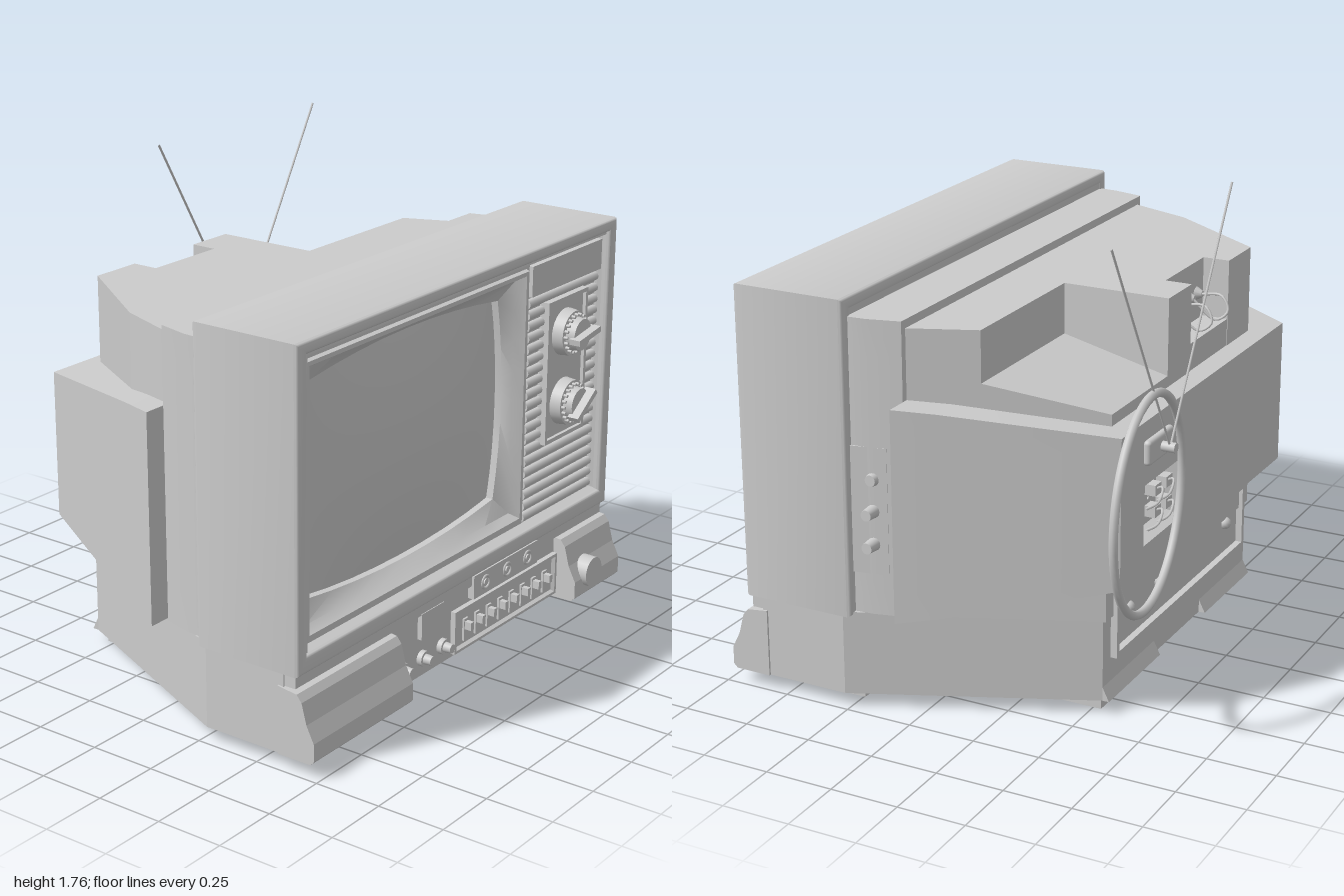
import * as THREE from 'three';
import { toCreasedNormals } from 'three/addons/utils/BufferGeometryUtils.js';
import { RoundedBoxGeometry } from 'three/addons/geometries/RoundedBoxGeometry.js';

const grey = new THREE.MeshStandardMaterial({ color: 0xcccccc });
const greyDouble = new THREE.MeshStandardMaterial({ color: 0xcccccc, side: THREE.DoubleSide });
const V = (x, y, z) => new THREE.Vector3(x, y, z);

export function createModel() {
  const model = new THREE.Group();
  const add = (name, geo, x = 0, y = 0, z = 0, mat = grey) => {
    const m = new THREE.Mesh(geo, mat);
    m.name = name;
    m.position.set(x, y, z);
    model.add(m);
    return m;
  };
  // Box given by its limits
  const box = (name, x0, x1, y0, y1, z0, z1) =>
    add(name, new THREE.BoxGeometry(x1 - x0, y1 - y0, z1 - z0), (x0 + x1) / 2, (y0 + y1) / 2, (z0 + z1) / 2);
  // Disc or knob along z, from z0 to z1
  const knob = (name, x, y, z0, z1, r, rEnd = r, sides = 24) =>
    add(name, new THREE.CylinderGeometry(rEnd, r, z1 - z0, sides).rotateX(Math.PI / 2), x, y, (z0 + z1) / 2);
  const tube = (name, pts, r, seg = 16) =>
    add(name, new THREE.TubeGeometry(new THREE.CatmullRomCurve3(pts), seg, r, 6));
  // Rectangular ring of points, sides bowed outward by b
  const ring = (x0, x1, y0, y1, z, b = 0, n = 8) => {
    const c = [[x0, y0], [x1, y0], [x1, y1], [x0, y1]], out = [];
    for (let s = 0; s < 4; s++) for (let i = 0; i < n; i++) {
      const t = i / n, p = c[s], q = c[(s + 1) % 4], k = 4 * t * (1 - t) * b;
      const dir = [[0, -1], [1, 0], [0, 1], [-1, 0]][s];
      out.push([p[0] + (q[0] - p[0]) * t + dir[0] * k, p[1] + (q[1] - p[1]) * t + dir[1] * k, z]);
    }
    return out;
  };
  // Skin over rings, listed from the inner front outward and back
  const loft = (rings) => {
    const pos = [], n = rings[0].length;
    for (let r = 0; r < rings.length - 1; r++) for (let i = 0; i < n; i++) {
      const a = rings[r], b = rings[r + 1], j = (i + 1) % n;
      pos.push(...a[i], ...b[i], ...a[j], ...a[j], ...b[i], ...b[j]);
    }
    const g = new THREE.BufferGeometry();
    g.setAttribute('position', new THREE.Float32BufferAttribute(pos, 3));
    return toCreasedNormals(g, 0.5);
  };
  const rect = (T, x0, x1, y0, y1) => {
    const s = new T();
    s.moveTo(x0, y0); s.lineTo(x1, y0); s.lineTo(x1, y1); s.lineTo(x0, y1); s.closePath();
    return s;
  };
  // Upright prism over an [x, z] plan
  const prism = (name, plan, y0, y1) => {
    const s = new THREE.Shape(plan.map(([x, z]) => new THREE.Vector2(x, -z)));
    return add(name, new THREE.ExtrudeGeometry(s, { depth: y1 - y0, bevelEnabled: false }).rotateX(-Math.PI / 2), 0, y0, 0);
  };
  // Prism along x over a [z, y] profile
  const sideProfile = (name, prof, x0, x1) => {
    const s = new THREE.Shape(prof.map(([z, y]) => new THREE.Vector2(-z, y)));
    return add(name, new THREE.ExtrudeGeometry(s, { depth: x1 - x0, bevelEnabled: false }).rotateY(Math.PI / 2), x0, 0, 0);
  };

  // Main cabinet: hollow front shell and its filling
  const shell = rect(THREE.Shape, -0.97, 0.97, 0.36, 1.47);
  shell.holes.push(rect(THREE.Path, -0.945, 0.945, 0.395, 1.455));
  add('cabinetShell', toCreasedNormals(new THREE.ExtrudeGeometry(shell,
    { depth: 0.4, bevelSize: 0.015, bevelThickness: 0.015, bevelSegments: 3 }), 0.6), 0, 0, 0.25);
  box('cabinetCore', -0.96, 0.96, 0.38, 1.46, 0.24, 0.52);
  add('frontTrim', loft([ring(-0.905, 0.925, 0.42, 1.42, 0.62), ring(-0.915, 0.935, 0.41, 1.43, 0.65),
    ring(-0.95, 0.95, 0.39, 1.46, 0.645)]));

  // Screen surround and bulging glass
  add('screenSurround', loft([ring(-0.8, 0.32, 0.54, 1.3, 0.51, 0.04), ring(-0.8, 0.32, 0.54, 1.3, 0.565, 0.04),
    ring(-0.865, 0.375, 0.475, 1.365, 0.60), ring(-0.885, 0.4, 0.455, 1.385, 0.635),
    ring(-0.90, 0.415, 0.44, 1.4, 0.635), ring(-0.905, 0.42, 0.435, 1.405, 0.62),
    ring(-0.925, 0.44, 0.415, 1.425, 0.62), ring(-0.925, 0.44, 0.415, 1.425, 0.5)]));
  const glass = new THREE.PlaneGeometry(1.24, 0.88, 20, 16);
  const gp = glass.attributes.position;
  for (let i = 0; i < gp.count; i++)
    gp.setZ(i, 0.04 * (1 - (gp.getX(i) / 0.62) ** 2) * (1 - (gp.getY(i) / 0.44) ** 2));
  glass.computeVertexNormals();
  add('screenGlass', glass, -0.24, 0.92, 0.535);

  // Control column: plain head, slatted grille and dial plate
  box('controlBacking', 0.44, 0.93, 0.41, 1.43, 0.5, 0.605);
  box('columnHead', 0.44, 0.925, 1.295, 1.41, 0.6, 0.635);
  for (let i = 0; i < 20; i++) {
    const slat = new THREE.CylinderGeometry(0.017, 0.017, 0.48, 10).rotateZ(Math.PI / 2);
    add('grilleSlat', slat, 0.683, 0.437 + i * 0.0435, 0.61);
  }
  add('dialPlate', loft([ring(0.56, 0.805, 0.715, 1.235, 0.63), ring(0.56, 0.805, 0.715, 1.235, 0.645),
    ring(0.545, 0.82, 0.7, 1.25, 0.645), ring(0.545, 0.82, 0.7, 1.25, 0.6)]));
  box('dialPlateFace', 0.55, 0.815, 0.705, 1.245, 0.6, 0.632);
  [[1.11, 0.15], [0.84, 0.6]].forEach(([y, turn]) => {
    knob('dialSkirt', 0.68, y, 0.63, 0.675, 0.09, 0.085, 32);
    knob('dialBody', 0.68, y, 0.67, 0.71, 0.065, 0.06, 24);
    for (let k = 0; k < 20; k++) {
      const a = k * Math.PI / 10;
      knob('dialTooth', 0.68 + 0.072 * Math.cos(a), y + 0.072 * Math.sin(a), 0.67, 0.69, 0.007, 0.006, 6);
    }
    add('dialGrip', new THREE.BoxGeometry(0.15, 0.022, 0.045), 0.68, y, 0.72).rotation.z = turn;
  });

  // Lower base
  prism('base', [[-0.98, 0.6], [0.98, 0.6], [0.98, 0.27], [0.62, -0.55], [-0.62, -0.55], [-0.98, 0.27]], 0.05, 0.36);
  prism('baseRear', [[-0.88, 0.045], [0.88, 0.045], [0.62, -0.56], [-0.62, -0.56]], 0.35, 0.56);
  box('controlPanel', -0.43, 0.67, 0.055, 0.32, 0.59, 0.63);
  box('baseTopRail', -0.975, 0.975, 0.30, 0.345, 0.58, 0.645);
  const bulge = [[0.58, 0.05], [0.715, 0.05], [0.73, 0.065], [0.73, 0.13], [0.70, 0.19], [0.68, 0.265], [0.66, 0.29], [0.58, 0.3]];
  sideProfile('leftCompartment', bulge, 0.66, 0.988);
  sideProfile('rightCompartment', bulge, -0.988, -0.42);
  knob('roundButton', 0.765, 0.145, 0.68, 0.75, 0.06, 0.058);

  // Front controls
  box('displayWindow', -0.25, -0.11, 0.205, 0.305, 0.62, 0.648);
  for (const x of [-0.35, -0.225, -0.1]) {
    knob('smallKnobCollar', x, 0.125, 0.62, 0.65, 0.029);
    knob('smallKnob', x, 0.125, 0.64, 0.68, 0.02, 0.017);
  }
  add('sliderPlate', loft([ring(-0.02, 0.635, 0.088, 0.215, 0.635), ring(-0.028, 0.643, 0.08, 0.223, 0.65),
    ring(-0.04, 0.655, 0.07, 0.235, 0.65), ring(-0.04, 0.655, 0.07, 0.235, 0.62)]));
  box('sliderPlateFace', -0.03, 0.645, 0.08, 0.225, 0.62, 0.637);
  for (let i = 0; i < 8; i++) {
    const x = 0.04 + i * 0.077;
    box('sliderTrack', x - 0.014, x + 0.014, 0.1, 0.185, 0.63, 0.645);
    box('sliderKey', x - 0.01, x + 0.01, 0.145, 0.175, 0.64, 0.672);
  }
  box('jackStrip', 0.07, 0.5, 0.25, 0.34, 0.62, 0.655);
  for (const x of [0.145, 0.29, 0.43]) {
    add('jackRing', new THREE.TorusGeometry(0.024, 0.005, 6, 20), x, 0.295, 0.656);
    knob('jackCentre', x, 0.295, 0.65, 0.66, 0.012);
  }

  // Feet: square frames, the rear pair closer together
  for (const s of [-1, 1]) for (const [x, z] of [[0.745, 0.39], [0.445, -0.385]]) {
    const f = rect(THREE.Shape, -0.145, 0.145, -0.145, 0.145);
    f.holes.push(rect(THREE.Path, -0.115, 0.115, -0.115, 0.115));
    add('foot', new THREE.ExtrudeGeometry(f, { depth: 0.055, bevelEnabled: false }).rotateX(-Math.PI / 2), s * x, 0, z);
    box('footPad', s * x - 0.12, s * x + 0.12, 0.012, 0.05, z - 0.12, z + 0.12);
  }

  // Neck behind the cabinet
  add('neck', loft([ring(-0.95, 0.95, 0.36, 1.42, 0.24), ring(-0.945, 0.945, 0.36, 1.42, 0.17),
    ring(-0.915, 0.915, 0.36, 1.42, 0.05), ring(-0.5, 0.5, 0.6, 1.2, 0.05)]));
  const panel = box('sidePanel', 0.915, 0.945, 0.51, 0.97, 0.11, 0.24);
  panel.rotation.y = 0.2;
  for (const [y, len] of [[0.62, 0.05], [0.74, 0.05], [0.855, 0.018]])
    add('sideKnob', new THREE.CylinderGeometry(0.02, 0.024, len, 16).rotateZ(-Math.PI / 2), 0.94 + len / 2, y, 0.16);

  // Tapered rear housing with a recess in its back
  add('rearHousing', loft([ring(-0.85, 0.85, 0.45, 1.1, 0.05), ring(-1, 1, 0.37, 1.14, 0.05),
    ring(-0.945, 0.945, 0.395, 1.13, -0.09), ring(-0.7, 0.7, 0.515, 1.06, -0.65)]));
  const back = rect(THREE.Shape, -0.7, 0.7, 0.515, 1.06);
  back.holes.push(rect(THREE.Path, -0.52, -0.2, 0.61, 0.83));
  add('housingBack', new THREE.ShapeGeometry(back).rotateY(Math.PI), 0, 0, -0.65);
  add('backRecess', loft([ring(0.2, 0.52, 0.61, 0.83, -0.65, 0, 1), ring(0.22, 0.50, 0.63, 0.81, -0.59, 0, 1),
    ring(0.355, 0.365, 0.715, 0.725, -0.59, 0, 1)]), 0, 0, 0, greyDouble);
  for (const x of [0.27, 0.36]) for (const y of [0.68, 0.76]) {
    box('terminal', x - 0.025, x + 0.025, y - 0.02, y + 0.02, -0.63, -0.58);
    tube('terminalWire', [V(x, y, -0.62), V(x + 0.03, y + 0.02, -0.66), V(x + 0.06, y - 0.02, -0.66), V(x + 0.05, y - 0.06, -0.61)], 0.005);
  }

  // Upper housing with corner cut-out and socket notch
  prism('upperHousing', [[-0.89, 0.05], [0.89, 0.05], [0.795, -0.18], [0.19, -0.18], [0.19, -0.58], [0, -0.58],
    [0, -0.48], [-0.33, -0.48], [-0.33, -0.58], [-0.53, -0.58], [-0.8, -0.19]], 1.0, 1.39);
  const step = new THREE.BoxGeometry(1, 1, 1);
  const sp = step.attributes.position;
  for (let i = 0; i < sp.count; i++) {
    const rear = sp.getZ(i) < 0;
    const right = sp.getX(i) > 0 ? (rear ? 0.63 : 0.795) : 0.19;
    sp.setXYZ(i, right, sp.getY(i) < 0 ? 1.0 : rear ? 1.11 : 1.205, rear ? -0.58 : -0.18);
  }
  step.computeVertexNormals();
  add('cornerStep', step);
  box('socketFloor', -0.33, 0, 1.0, 1.17, -0.578, -0.47);
  [-0.27, -0.2, -0.125, -0.05].forEach((x) => {
    add('socket', new THREE.CylinderGeometry(0.012, 0.028, 0.03, 12).rotateX(-Math.PI / 2), x, 1.27, -0.49);
  });
  for (const x of [-0.27, -0.125])
    tube('socketWire', [V(x, 1.27, -0.5), V(x + 0.02, 1.28, -0.59), V(x + 0.035, 1.23, -0.62),
      V(x + 0.055, 1.2, -0.58), V(x + 0.072, 1.27, -0.5)], 0.005, 24);

  // Rear of the base: framed plate, screws and flared lips
  for (const [x0, x1, y0, y1] of [[-0.56, 0.56, 0.43, 0.45], [-0.56, 0.56, 0.19, 0.21], [-0.56, -0.54, 0.19, 0.45], [0.54, 0.56, 0.19, 0.45]])
    box('rearPlateRim', x0, x1, y0, y1, -0.575, -0.54);
  for (const x of [0.43, 0.18, -0.42])
    add('rearScrew', new THREE.SphereGeometry(0.024, 12, 8), x, 0.33, -0.555);
  for (const s of [-1, 1])
    sideProfile('rearLip', [[-0.5, 0.05], [-0.5, 0.13], [-0.54, 0.12], [-0.575, 0.05]].reverse(),
      s > 0 ? 0.2 : -0.62, s > 0 ? 0.62 : -0.2);

  // Aerials: two rods and a loop on a shared mount
  add('aerialMount', new RoundedBoxGeometry(0.2, 0.09, 0.03, 3, 0.014), 0.43, 0.95, -0.66);
  knob('aerialPivot', 0.43, 0.95, -0.725, -0.66, 0.018);
  for (const s of [-1, 1])
    tube('aerialRod', [V(0.43, 0.95, -0.703), V(0.43 + s * 0.472, 1.76, -0.703)], 0.0045, 1);
  const loop = add('loopAerial', new THREE.TorusGeometry(0.377, 0.016, 8, 64), 0.6, 0.805, -0.705);
  loop.scale.x = 0.94;
  loop.rotation.y = 0.11;
  return model;
}
